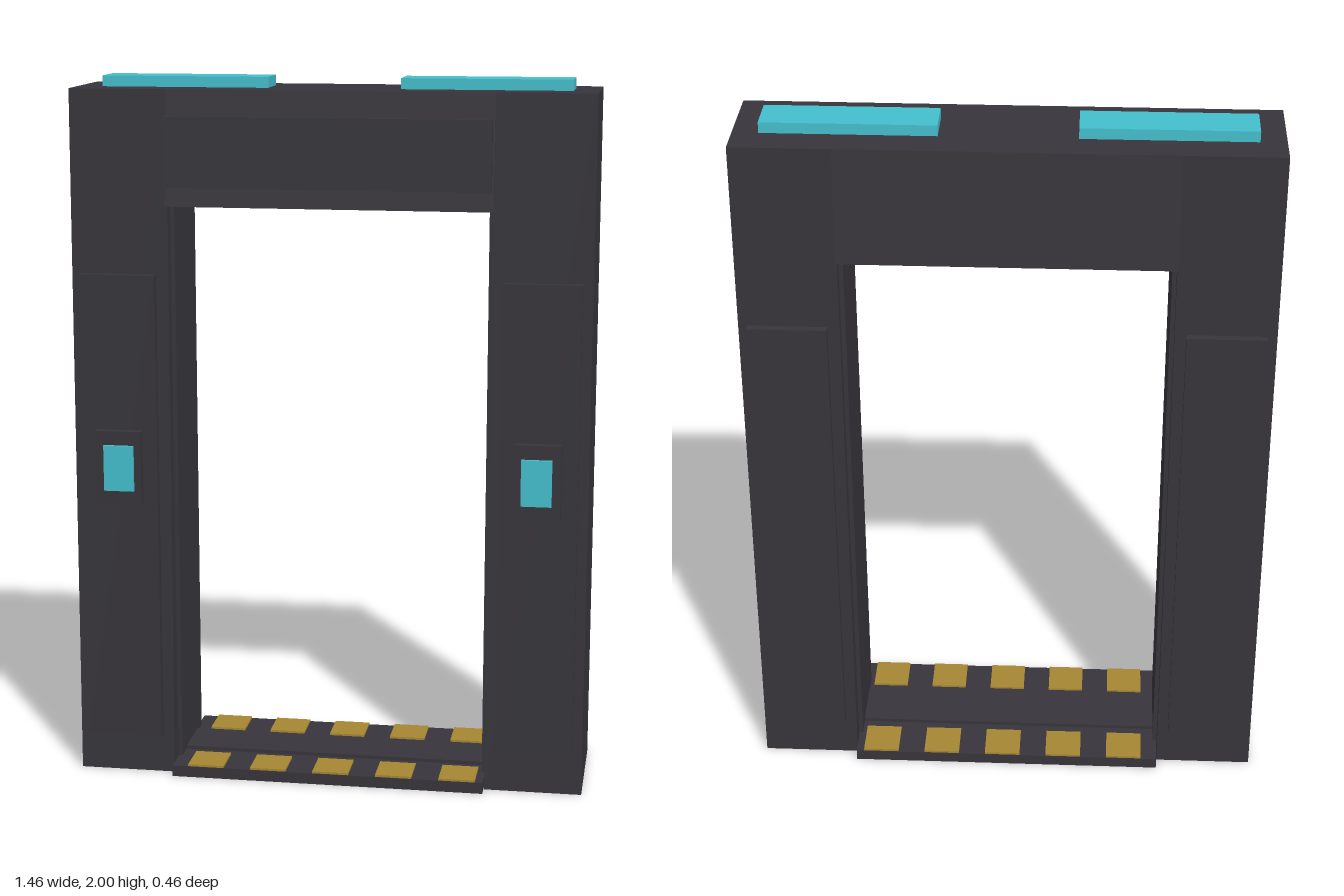
import * as THREE from 'three';

const mat = (name, color) => new THREE.MeshStandardMaterial({ name, color });

export function createModel() {
  const dark = mat('dark metal', 0x37353b);
  const teal = mat('teal light', 0x44bfcd);
  const yellow = mat('hazard yellow', 0xa58632);
  const model = new THREE.Group();

  // Box given by its limits on each axis
  function box(name, material, [x0, x1], [y0, y1], [z0, z1]) {
    const mesh = new THREE.Mesh(new THREE.BoxGeometry(x1 - x0, y1 - y0, z1 - z0), material);
    mesh.position.set((x0 + x1) / 2, (y0 + y1) / 2, (z0 + z1) / 2);
    mesh.name = name;
    model.add(mesh);
    return mesh;
  }

  // Box whose front and back lean inwards towards the top
  function taperedBox(name, x, y, zBottom, zTop) {
    const mesh = box(name, dark, x, y, zBottom);
    const p = mesh.geometry.attributes.position;
    for (let i = 0; i < p.count; i++) {
      if (p.getY(i) > 0) p.setZ(i, zTop[p.getZ(i) > 0 ? 1 : 0] - mesh.position.z);
    }
    mesh.geometry.computeVertexNormals();
    return mesh;
  }

  // Header between the posts, with its front plate
  taperedBox('lintel', [-0.455, 0.455], [1.65, 1.97], [-0.19, 0.17], [-0.165, 0.145]);
  box('headerPanel', dark, [-0.455, 0.45], [1.705, 1.9], [0.175, 0.196]);

  for (const s of [-1, 1]) {
    const side = s > 0 ? 'left' : 'right';
    const span = (a, b) => (s > 0 ? [a, b] : [-b, -a]);

    // Post, jamb lining and cover plates
    taperedBox(side + 'Post', span(0.452, 0.728), [0, 1.97], [-0.19, 0.172], [-0.165, 0.145]);
    box(side + 'JambLining', dark, span(0.44, 0.46), [0.02, 1.66], [-0.14, 0.12]);
    box(side + 'FrontPanel', dark, span(0.483, 0.7), [0.115, 1.46], [0.173, 0.194]);
    box(side + 'BackPanel', dark, span(0.483, 0.7), [0.115, 1.46], [-0.212, -0.19]);

    // Control box and its screen
    box(side + 'ControlBox', dark, span(0.525, 0.655), [0.81, 1.02], [0.19, 0.217]);
    box(side + 'Screen', teal, span(0.545, 0.63), [0.85, 0.98], [0.215, 0.228]);

    // Light on the roof
    box(side + 'RoofLight', teal, span(0.185, 0.657), [1.96, 2], [-0.07, 0.047]);
  }

  // Threshold with a raised middle
  box('threshold', dark, [-0.45, 0.45], [0, 0.032], [-0.228, 0.208]);
  box('thresholdRidge', dark, [-0.45, 0.45], [0.02, 0.042], [-0.085, 0.065]);

  // Hazard stripes along both edges
  for (let i = 0; i < 5; i++) {
    const x = -0.352 + i * 0.182;
    box('frontStripe', yellow, [x - 0.052, x + 0.052], [0.03, 0.038], [0.095, 0.206]);
    box('backStripe', yellow, [x - 0.052, x + 0.052], [0.03, 0.038], [-0.226, -0.115]);
  }

  return model;
}
